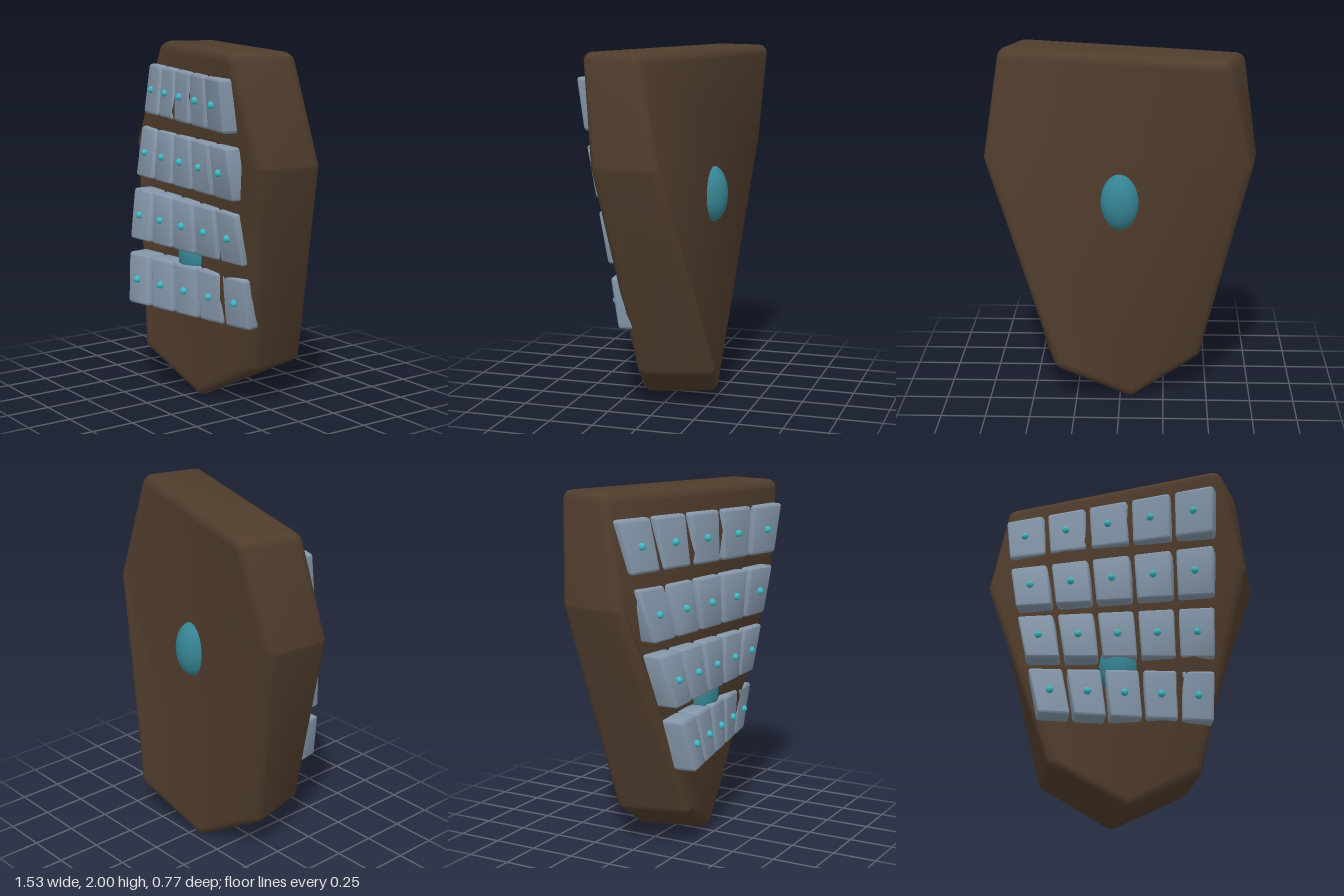
import * as THREE from 'three';
import { toCreasedNormals } from 'three/addons/utils/BufferGeometryUtils.js';
import { RoundedBoxGeometry } from 'three/addons/geometries/RoundedBoxGeometry.js';

const mat = (color) => new THREE.MeshStandardMaterial({ color });
const BODY = mat(0x4f3c2c), KEY = mat(0x8496a9), DOT = mat(0x3fb8c4), PAD = mat(0x368494);

// Turn a point about the vertical axis; the angle depends on its height
function turn(x, y, z, angle) {
  const c = Math.cos(angle), s = Math.sin(angle);
  return [x * c - z * s, y, x * s + z * c];
}
const bodyTwist = (y) => 0.31 * (y - 1);
const keyTwist = (y) => 0.321 * Math.sin(1.25 * (y - 1));

// Key columns spread and the front face recedes with height
const pitch = (y) => 0.2045 + 0.048 * (y - 0.63);
const faceDepth = (y) => 0.29 - 0.034 * y;

// Slab with a seven-cornered outline, rounded rim and twisted flat panels
function bodyGeometry() {
  const R = 0.055, N = 4;
  // counter-clockwise from the lower tip; R is added all round
  const corners = [[0, 0.055], [0.375, 0.255], [0.7, 1.4], [0.622, 1.945],
    [-0.622, 1.945], [-0.7, 1.4], [-0.375, 0.255]];
  const count = corners.length;
  const normalAngle = (k) => {
    const [x0, y0] = corners[(k + count) % count], [x1, y1] = corners[(k + 1) % count];
    return Math.atan2(x0 - x1, y1 - y0);
  };
  const pos = [], index = [];
  // rings run over the front rim and then over the back rim
  for (const side of [1, -1]) {
    for (let j = 0; j <= N; j++) {
      const phi = Math.PI / 2 * (side > 0 ? 1 - j / N : -j / N);
      corners.forEach(([cx, cy], k) => {
        const from = normalAngle(k - 1);
        const sweep = (normalAngle(k) - from + 4 * Math.PI) % (2 * Math.PI);
        for (let i = 0; i <= N; i++) {
          const a = from + sweep * i / N, r = R * Math.cos(phi);
          const x = cx + r * Math.cos(a), y = cy + r * Math.sin(a);
          const z = side * (0.222 - 0.0175 * y - R) + R * Math.sin(phi) - 0.02;
          pos.push(...turn(x, y, z, bodyTwist(y)));
        }
      });
    }
  }
  const n = count * (N + 1), last = 2 * N + 1;
  for (let j = 0; j < last; j++) {
    for (let i = 0; i < n; i++) {
      const a = j * n + i, b = j * n + (i + 1) % n;
      index.push(a, a + n, b, b, a + n, b + n);
    }
  }
  // front and back panels
  for (const [a, b, c] of [[0, 1, 2], [0, 2, 5], [0, 5, 6], [2, 3, 5], [3, 4, 5]]) {
    const [p, q, r] = [a, b, c].map((k) => k * (N + 1));
    index.push(p, q, r, last * n + p, last * n + r, last * n + q);
  }
  const g = new THREE.BufferGeometry();
  g.setAttribute('position', new THREE.Float32BufferAttribute(pos, 3));
  g.setIndex(index);
  return toCreasedNormals(g, 0.6);
}

// Rounded tile bent to follow the twist and taper
function keyGeometry(col, yc) {
  const g = new RoundedBoxGeometry(0.22, 0.289, 0.13, 3, 0.018);
  const p = g.attributes.position;
  for (let i = 0; i < p.count; i++) {
    const y = yc + p.getY(i);
    const x = (col + p.getX(i) / 0.25) * pitch(y);
    p.setXYZ(i, ...turn(x, y, faceDepth(y) + p.getZ(i) - 0.065, keyTwist(y)));
  }
  return toCreasedNormals(g, 0.7);
}

export function createModel() {
  const model = new THREE.Group();
  const add = (name, geometry, material, parent = model) => {
    const m = new THREE.Mesh(geometry, material);
    m.name = name;
    parent.add(m);
    return m;
  };

  add('body', bodyGeometry(), BODY);

  // Four rows of five keys, each with a small stud
  const keys = new THREE.Group();
  keys.name = 'keys';
  model.add(keys);
  const studGeometry = new THREE.SphereGeometry(0.021, 12, 8);
  for (const y of [0.63, 0.995, 1.355, 1.72]) {
    for (let col = -2; col <= 2; col++) {
      add('key', keyGeometry(col, y), KEY, keys);
      const stud = add('keyStud', studGeometry, DOT, keys);
      stud.position.set(...turn(col * pitch(y), y, faceDepth(y) + 0.007, keyTwist(y)));
    }
  }

  // Oval pads on the front and back
  const oval = new THREE.SphereGeometry(1, 32, 20);
  const front = add('frontPad', oval, PAD);
  front.position.set(0, 0.82, 0.17);
  front.scale.set(0.108, 0.16, 0.086);
  const back = add('backPad', oval, PAD);
  back.position.set(0, 1.18, -0.21);
  back.scale.set(0.108, 0.16, 0.086);

  return model;
}
